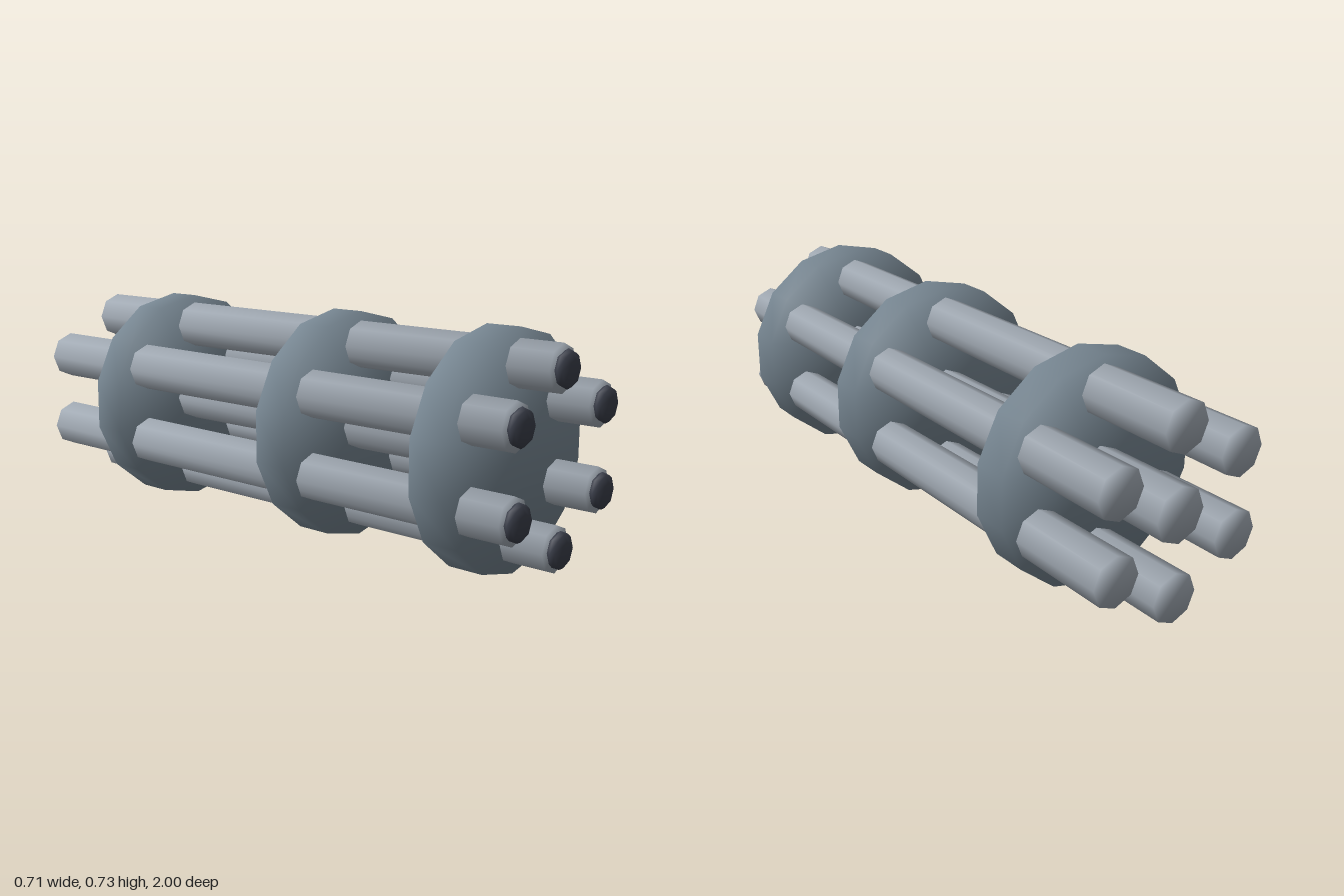
import * as THREE from 'three';

const CENTER_Y = 0.366;
const RING_RADIUS = 0.261;

// Closed cylinder along z whose rim normals are blended softly between side and cap
function softCylinder(rFront, rBack, zFront, zBack, sides) {
  const length = zFront - zBack;
  const geo = new THREE.CylinderGeometry(rFront, rBack, length, sides);
  const pos = geo.attributes.position;
  const normal = geo.attributes.normal;
  const n = new THREE.Vector3();
  for (let i = 0; i < pos.count; i++) {
    const x = pos.getX(i), z = pos.getZ(i), r = Math.hypot(x, z);
    const end = Math.sign(pos.getY(i));
    if (r > 1e-4) n.set(x / r, 0.85 * end, z / r).normalize();
    else n.set(0, end, 0);
    normal.setXYZ(i, n.x, n.y, n.z);
  }
  geo.rotateX(Math.PI / 2);
  geo.translate(0, 0, (zFront + zBack) / 2);
  return geo;
}

export function createModel() {
  const steel = new THREE.MeshStandardMaterial({ color: 0xa9b2bc });
  steel.name = 'light steel';
  const blueGrey = new THREE.MeshStandardMaterial({ color: 0x7c8c98 });
  blueGrey.name = 'blue grey metal';
  const dark = new THREE.MeshStandardMaterial({ color: 0x3c404c });
  dark.name = 'dark bore';

  const model = new THREE.Group();
  model.name = 'barrelCluster';
  const add = (name, geo, mat, x = 0, y = CENTER_Y) => {
    const mesh = new THREE.Mesh(geo, mat);
    mesh.name = name;
    mesh.position.set(x, y, 0);
    model.add(mesh);
  };

  // Three clamp discs
  const discs = [['frontDisc', 0.82], ['middleDisc', 0.23], ['rearDisc', -0.555]];
  for (const [name, z] of discs) {
    add(name, softCylinder(0.366, 0.366, z, z - 0.115, 14), blueGrey);
  }

  // Central shaft, ending inside the front disc
  add('centerShaft', softCylinder(0.076, 0.088, 0.76, -1, 8), steel);

  // Six slightly tapered barrels with domed dark muzzles
  const barrel = softCylinder(0.072, 0.08, 0.96, -1, 8);
  const muzzle = new THREE.SphereGeometry(0.058, 8, 6);
  muzzle.rotateX(Math.PI / 2);
  muzzle.scale(1, 1, 0.025 / 0.058);
  muzzle.translate(0, 0, 0.975);
  for (let i = 0; i < 6; i++) {
    const a = Math.PI / 2 + i * Math.PI / 3;
    const x = Math.cos(a) * RING_RADIUS;
    const y = CENTER_Y + Math.sin(a) * RING_RADIUS;
    add('barrel' + (i + 1), barrel, steel, x, y);
    add('muzzle' + (i + 1), muzzle, dark, x, y);
  }

  return model;
}
